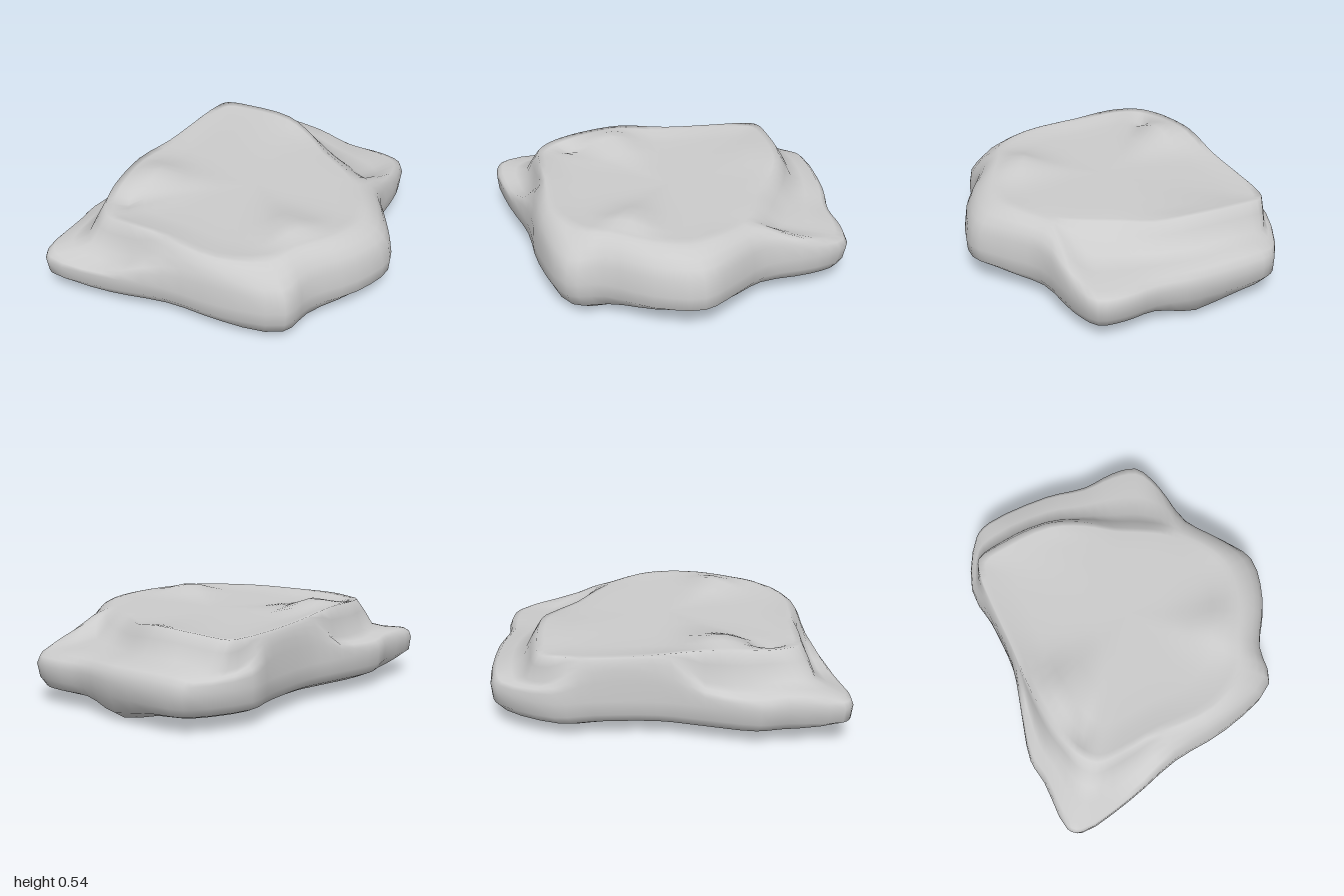
import * as THREE from 'three';

// Stations around the slab: outer edge x, z, ledge height, then plate rim x, z, height
const STATIONS = [
  [-0.60, -0.94, 0.29, -0.66, -0.69, 0.48], [-0.50, -0.99, 0.31, -0.50, -0.72, 0.49],
  [-0.10, -1.00, 0.31, -0.20, -0.72, 0.50], [0.15, -0.96, 0.30, 0.00, -0.65, 0.47],
  [0.35, -0.98, 0.30, 0.16, -0.54, 0.46], [0.50, -0.95, 0.30, 0.29, -0.47, 0.46],
  [0.57, -0.77, 0.33, 0.41, -0.40, 0.46], [0.61, -0.45, 0.39, 0.50, -0.32, 0.46],
  [0.76, -0.23, 0.39, 0.62, -0.15, 0.47], [0.865, -0.05, 0.38, 0.66, 0.00, 0.47],
  [0.80, 0.22, 0.39, 0.62, 0.20, 0.48], [0.64, 0.48, 0.39, 0.50, 0.42, 0.49],
  [0.60, 0.68, 0.36, 0.42, 0.58, 0.48], [0.25, 0.81, 0.40, 0.18, 0.71, 0.48],
  [-0.10, 0.85, 0.36, -0.15, 0.72, 0.49], [-0.45, 0.95, 0.26, -0.40, 0.74, 0.49],
  [-0.78, 1.00, 0.28, -0.54, 0.73, 0.48], [-0.84, 0.95, 0.29, -0.61, 0.66, 0.49],
  [-0.85, 0.65, 0.30, -0.66, 0.55, 0.50], [-0.87, 0.50, 0.29, -0.69, 0.42, 0.51],
  [-0.80, 0.20, 0.31, -0.71, 0.20, 0.52], [-0.74, -0.05, 0.40, -0.70, -0.10, 0.49],
  [-0.74, -0.40, 0.40, -0.70, -0.40, 0.48], [-0.765, -0.62, 0.32, -0.69, -0.60, 0.48],
];
const SEGMENTS = 72;

const { lerp, clamp } = THREE.MathUtils;
const bump = (x, z, cx, cz, r) => Math.exp(-((x - cx) ** 2 + (z - cz) ** 2) / (r * r));

// Underside height: nearly flat with two low feet, rising to the side point and front corner
const underside = (x, z) =>
  0.065 - 0.06 * bump(x, z, 0.4, 0.52, 0.22) - 0.065 * bump(x, z, -0.1, -0.86, 0.16)
  + 0.035 * bump(x, z, 0.8, 0, 0.3) + 0.03 * bump(x, z, -0.8, 0.95, 0.2);

// Plate surface: shallow dish, raised at both sides, with a small pit near the front corner
const plate = (x, z) =>
  0.465 + 0.06 * bump(x, z, 0.42, 0.3, 0.16) + 0.08 * bump(x, z, -0.57, 0.28, 0.17)
  + 0.02 * bump(x, z, -0.3, -0.65, 0.2) - 0.05 * bump(x, z, -0.53, 0.53, 0.06);

// Cross-section at one station, from the underside centre over the edge to the plate centre
function section(o, r) {
  const under = (s, lift = 0) => [o.x * s, underside(o.x * s, o.z * s) + lift, o.z * s];
  const between = (t, y) => [o.x + (r.x - o.x) * t, y, o.z + (r.z - o.z) * t];
  const top = (s, blend) => {
    const x = r.x * s, z = r.z * s;
    return [x, lerp(r.y, plate(x, z), blend), z];
  };
  // 0 gives a stepped ledge, 1 a rounded wall
  const round = clamp((o.y - 0.31) / 0.06, 0, 1);
  const climb = (t, stepped, rounded) => between(t, lerp(o.y, r.y, lerp(stepped, rounded, round)));
  return [
    under(0), under(0.45), under(0.7), under(0.87), under(0.95, 0.03),
    between(0.03, 0.15),
    between(0, 0.23),
    between(lerp(0.04, 0.08, round), lerp(0.23, o.y, 0.65)),
    between(lerp(0.14, 0.24, round), o.y),
    climb(0.45, 0.06, 0.5),
    climb(0.7, 0.18, 0.8),
    climb(0.86, 0.65, 0.94),
    top(1, 0), top(0.95, 0.2), top(0.86, 0.75), top(0.75, 1), top(0.55, 1), top(0.3, 1), top(0, 1),
  ];
}

function slabGeometry() {
  const loop = (f) => new THREE.CatmullRomCurve3(STATIONS.map(f), true, 'centripetal');
  const outer = loop(([x, z, y]) => new THREE.Vector3(x, y, z));
  const rim = loop((s) => new THREE.Vector3(s[3], s[5], s[4]));
  const positions = [], index = [];
  let rows = 0;
  for (let i = 0; i < SEGMENTS; i++) {
    const points = section(outer.getPoint(i / SEGMENTS), rim.getPoint(i / SEGMENTS));
    rows = points.length;
    points.forEach((p) => positions.push(...p));
  }
  for (let i = 0; i < SEGMENTS; i++) {
    const next = (i + 1) % SEGMENTS;
    for (let j = 0; j < rows - 1; j++) {
      const a = i * rows + j, b = next * rows + j;
      index.push(a, a + 1, b + 1, a, b + 1, b);
    }
  }
  const geometry = new THREE.BufferGeometry();
  geometry.setAttribute('position', new THREE.Float32BufferAttribute(positions, 3));
  geometry.setIndex(index);
  geometry.computeBoundingBox();
  geometry.translate(0, -geometry.boundingBox.min.y, 0);
  geometry.computeVertexNormals();
  return geometry;
}

export function createModel() {
  const group = new THREE.Group();
  group.name = 'rock';
  const slab = new THREE.Mesh(slabGeometry(), new THREE.MeshStandardMaterial({ color: 0xcccccc }));
  slab.name = 'rockSlab';
  group.add(slab);
  return group;
}
